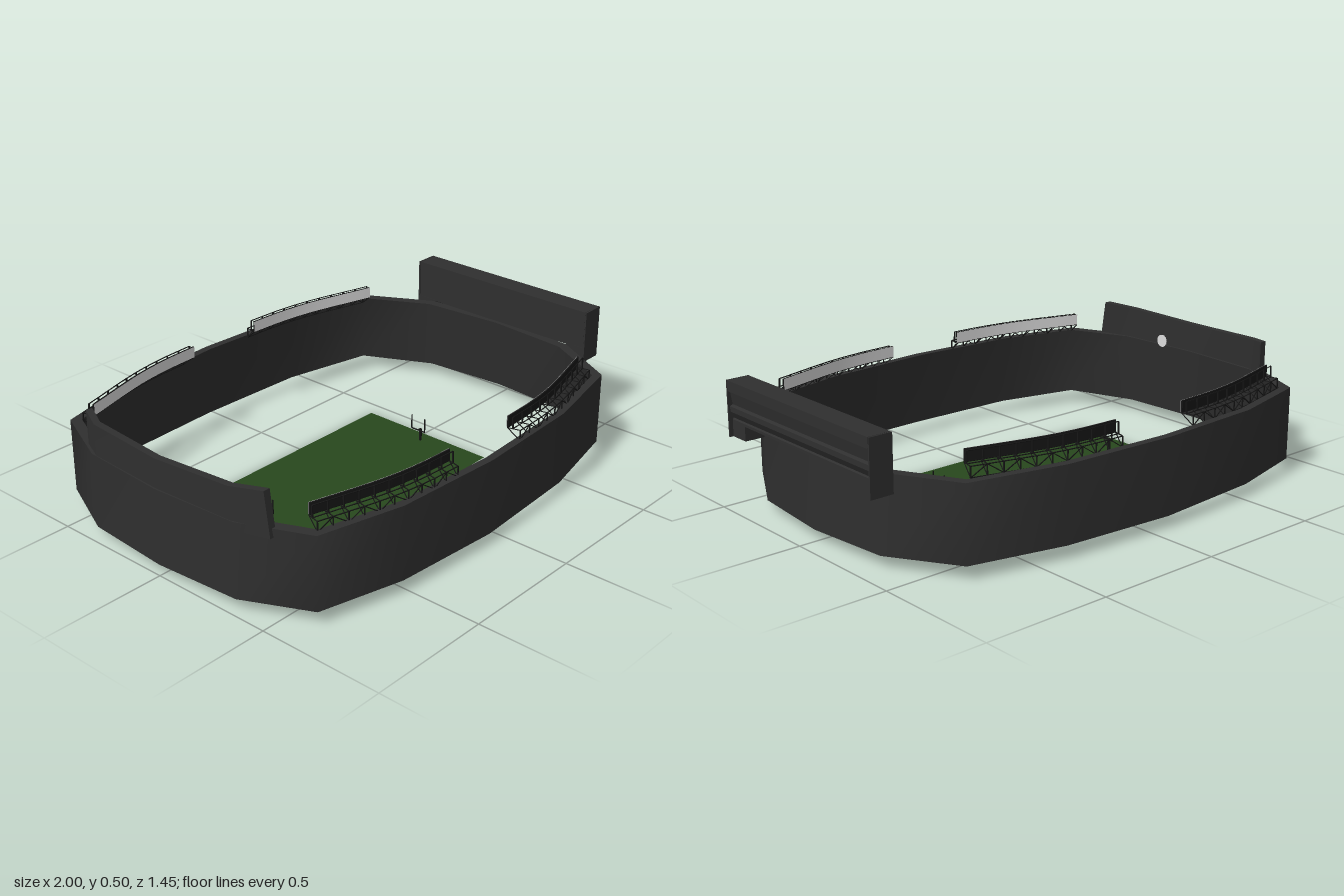
import * as THREE from 'three';
import { mergeGeometries } from 'three/addons/utils/BufferGeometryUtils.js';

const mat = (name, color) => {
  const m = new THREE.MeshStandardMaterial({ color, side: THREE.DoubleSide });
  m.name = name;
  return m;
};
const V = (x, y, z) => new THREE.Vector3(x, y, z);

// Smooth ribbon between two equally long rows of points
function band(a, b, closed = false) {
  const n = a.length, pos = [], idx = [];
  [...a, ...b].forEach(p => pos.push(p.x, p.y, p.z));
  for (let i = 0; i < (closed ? n : n - 1); i++) {
    const j = (i + 1) % n;
    idx.push(i, j, n + j, i, n + j, n + i);
  }
  const g = new THREE.BufferGeometry();
  g.setAttribute('position', new THREE.Float32BufferAttribute(pos, 3));
  g.setIndex(idx);
  g.computeVertexNormals();
  return g;
}

// Open-ended solid wall from four rows: outer bottom, outer top, inner top, inner bottom
function shell(rows) {
  const parts = rows.map((r, i) => band(r, rows[(i + 1) % 4]));
  const [a, b, c, d] = rows.map(r => r[0]), [e, f, g, h] = rows.map(r => r[r.length - 1]);
  return mergeGeometries([...parts, band([d, a], [c, b]), band([e, h], [f, g])]);
}

// Square bar between two points
function bar(a, b, t) {
  const d = b.clone().sub(a);
  const g = new THREE.BoxGeometry(t, d.length(), t);
  g.applyQuaternion(new THREE.Quaternion().setFromUnitVectors(V(0, 1, 0), d.clone().normalize()));
  return g.translate((a.x + b.x) / 2, (a.y + b.y) / 2, (a.z + b.z) / 2);
}

function box(x0, x1, y0, y1, z0, z1) {
  return new THREE.BoxGeometry(x1 - x0, y1 - y0, z1 - z0)
    .translate((x0 + x1) / 2, (y0 + y1) / 2, (z0 + z1) / 2);
}

export function createModel() {
  const root = new THREE.Group();
  root.name = 'stadium';
  const wallMat = mat('charcoal wall', 0x2f2f2f);
  const steelMat = mat('black steel', 0x161616);
  const lampMat = mat('lamp grey', 0xdedede);
  const grassMat = mat('grass green', 0x28481d);
  const add = (name, geo, m, parent = root) => {
    const mesh = new THREE.Mesh(geo, m);
    mesh.name = name;
    parent.add(mesh);
    return mesh;
  };

  // Bowl wall: half outline [outer x, outer z, inner x, inner z, bottom y], mirrored front to back;
  // the wall tapers to a thin edge at the bottom
  const half = [
    [-1, 0, -0.955, 0, 0.045], [-0.977, 0.352, -0.935, 0.345, 0.047], [-0.86, 0.615, -0.828, 0.588, 0.054],
    [-0.525, 0.698, -0.51, 0.668, 0.052], [-0.08, 0.723, -0.08, 0.693, 0.046], [0.385, 0.698, 0.375, 0.668, 0.052],
    [0.758, 0.615, 0.732, 0.588, 0.054], [0.907, 0.345, 0.868, 0.335, 0.047], [0.937, 0, 0.895, 0, 0.045],
  ];
  const back = half.slice(1, -1).reverse().map(([a, b, c, d, y]) => [a, -b, c, -d, y]);
  const ring = [...half, ...back];
  const bottom = ring.map(p => V(p[0], p[4], p[1]));
  const outerTop = ring.map(p => V(p[0], 0.343, p[1]));
  const innerTop = ring.map(p => V(p[2], 0.343, p[3]));
  add('bowlWall', mergeGeometries([
    band(bottom, outerTop, true), band(outerTop, innerTop, true), band(innerTop, bottom, true),
  ]), wallMat);

  // Playing field
  add('field', new THREE.PlaneGeometry(1.063, 0.592).rotateX(-Math.PI / 2).translate(-0.0985, 0.001, 0.012), grassMat);

  // Goals: stem with a short neck, crossbar and two uprights
  for (const [name, x, dir] of [['leftGoal', -0.515, 1], ['rightGoal', 0.38, -1]]) {
    const c = x + dir * 0.015, y = 0.052, z = 0.025, h = 0.033;
    add(name, mergeGeometries([
      bar(V(x, 0, z), V(x, y, z), 0.008),
      bar(V(x, y, z), V(c, y, z), 0.005),
      bar(V(c, y, z - h), V(c, y, z + h), 0.004),
      bar(V(c, y, z - h), V(c, 0.11, z - h), 0.004),
      bar(V(c, y, z + h), V(c, 0.11, z + h), 0.004),
    ]), steelMat);
  }

  // Curved screen standing on the left end: [x, z bottom, z top, top height]
  const screen = [[-0.935, -0.42, -0.42, 0.475], [-0.975, -0.33, -0.33, 0.465], [-0.993, 0, 0, 0.457],
    [-0.975, 0.34, 0.33, 0.468], [-0.935, 0.48, 0.455, 0.478]];
  const low = dx => screen.map(p => V(p[0] + dx, 0.31, p[1]));
  const high = dx => screen.map(p => V(p[0] + dx, p[3], p[2]));
  add('leftScreen', shell([low(0), high(0), high(0.028), low(0.028)]), wallMat);
  add('screenDisc', new THREE.CylinderGeometry(0.026, 0.026, 0.004, 16)
    .rotateZ(Math.PI / 2).translate(-0.947, 0.36, 0.15), lampMat);

  // Scoreboard on the right end: louvred profile swept along z, with two end legs
  const board = new THREE.Group();
  board.name = 'scoreboard';
  root.add(board);
  const profile = [[0.908, 0.345], [0.985, 0.345], [0.985, 0.355], [0.98, 0.36], [0.993, 0.385],
    [0.993, 0.405], [0.982, 0.411], [0.99, 0.458], [1, 0.463], [1, 0.503], [0.908, 0.503]];
  const sweep = new THREE.ExtrudeGeometry(
    new THREE.Shape(profile.map(p => new THREE.Vector2(...p))), { depth: 0.845, bevelEnabled: false });
  add('boardBody', sweep.translate(0, 0, -0.42), wallMat, board);
  for (const s of [-1, 1]) {
    const e = s * 0.427 + 0.002, i = s * 0.34 + 0.005;
    add('boardLeg', box(0.907, 0.985, 0.29, 0.35, Math.min(e, i), Math.max(e, i)), wallMat, board);
    add('boardEnd', box(0.907, 1, 0.29, 0.503, e - 0.003, e + 0.003), wallMat, board);
  }

  // Four curved floodlight banks on trusses
  const arc = new THREE.CatmullRomCurve3([V(0.165, 0, 0.635), V(0.32, 0, 0.627), V(0.47, 0, 0.605), V(0.755, 0, 0.53)]);
  const N = 10, pts = arc.getSpacedPoints(N);
  for (const sx of [-1, 1]) for (const sz of [-1, 1]) {
    const bank = new THREE.Group();
    bank.name = (sz > 0 ? 'front' : 'back') + (sx > 0 ? 'Left' : 'Right') + 'Floodlights';
    root.add(bank);
    // Row at height y, moved outward by d
    const row = (y, d) => {
      const r = pts.map(p => V(sx * (p.x + d * 0.25) - 0.065, y, sz * (p.z + d) + 0.01));
      return sx * sz < 0 ? r.reverse() : r;
    };
    add('lampCasing', shell([row(0.378, 0.007), row(0.422, 0.007), row(0.422, 0.002), row(0.378, 0.002)]), steelMat, bank);
    add('lampFace', band(row(0.422, 0), row(0.378, 0)), lampMat, bank);

    const bars = [], a = row(0.376, 0.004), b = row(0.376, 0.052), c = row(0.336, 0.052),
      m = row(0.376, 0.024), top = row(0.42, 0.022);
    for (let i = 0; i <= N; i++) {
      bars.push(bar(a[i], b[i], 0.003), bar(c[i], b[i], 0.004), bar(a[i], c[i], 0.003));
      bars.push(bar(m[i], top[i], 0.005));
      if (i === N) continue;
      for (const r of [a, b, c, m, top]) bars.push(bar(r[i], r[i + 1], 0.003));
      bars.push(i % 2 ? bar(b[i], c[i + 1], 0.003) : bar(c[i], b[i + 1], 0.003));
    }
    add('lampTruss', mergeGeometries(bars), steelMat, bank);
  }
  return root;
}
